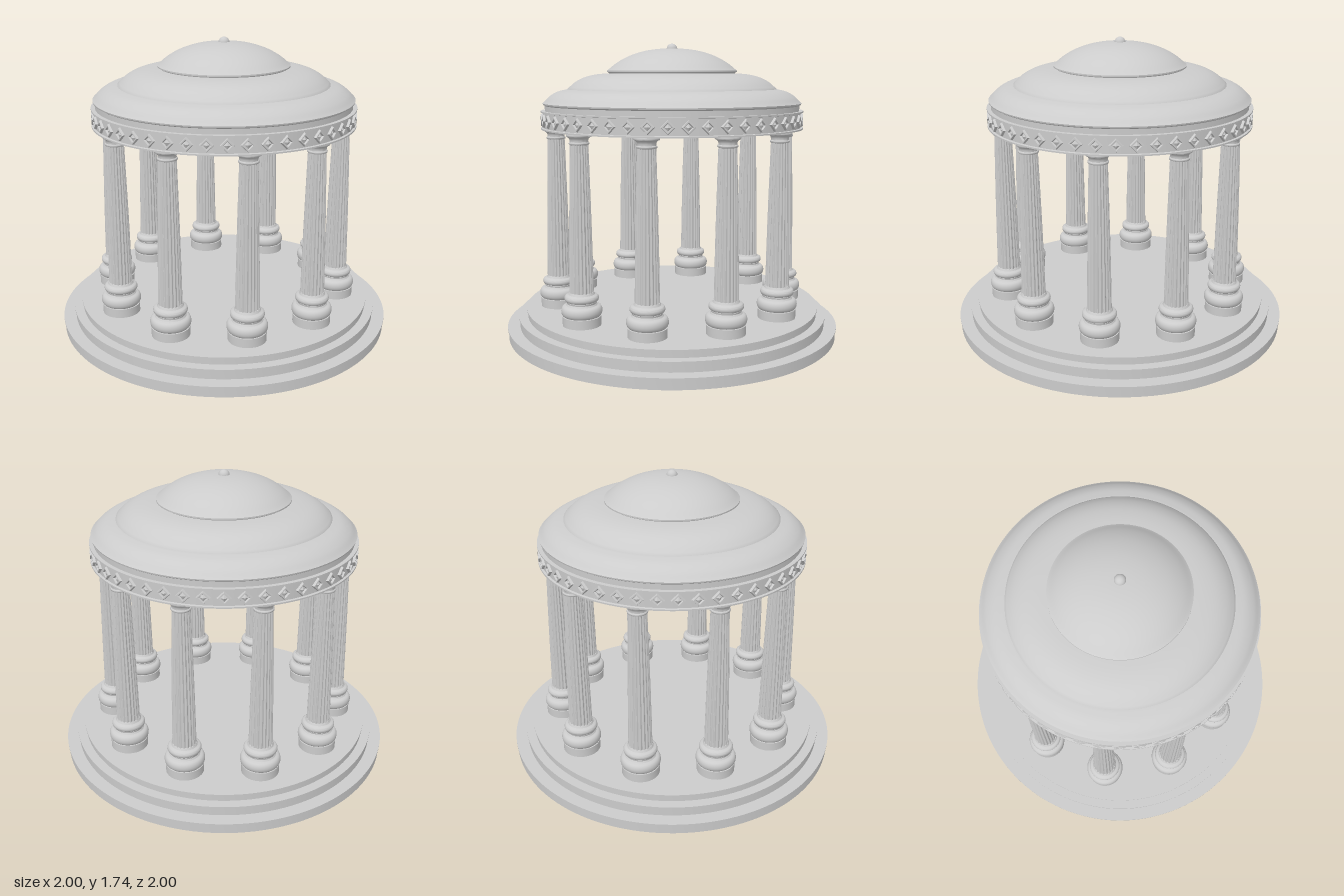
import * as THREE from 'three';
import { toCreasedNormals } from 'three/addons/utils/BufferGeometryUtils.js';

const stone = new THREE.MeshStandardMaterial({ color: 0xcccccc });
const facetedStone = new THREE.MeshStandardMaterial({ color: 0xcccccc, flatShading: true });

// Turned solid from [radius, height] pairs, bottom to top
function turned(profile, segments) {
  const points = profile.map(([r, y]) => new THREE.Vector2(r, y));
  return toCreasedNormals(new THREE.LatheGeometry(points, segments), 0.55);
}

// Half-round moulding bulging out from radius r between two heights
function roll(r, bulge, y0, y1, steps = 8) {
  return Array.from({ length: steps + 1 }, (_, i) => {
    const a = (i / steps) * Math.PI;
    return [r + bulge * Math.sin(a), (y0 + y1) / 2 - ((y1 - y0) / 2) * Math.cos(a)];
  });
}

// Smooth run of profile points through a few control points
function smooth(points, steps = 14) {
  const curve = new THREE.CatmullRomCurve3(points.map(([r, y]) => new THREE.Vector3(r, y, 0)));
  return curve.getPoints(steps).map((p) => [p.x, p.y]);
}

// Tapered shaft with concave flutes separated by narrow fillets
function flutedShaft(rTop, rBottom, y0, y1, flutes = 20) {
  const geo = new THREE.CylinderGeometry(rTop, rBottom, y1 - y0, flutes * 6, 6, true);
  const pos = geo.attributes.position;
  for (let i = 0; i < pos.count; i++) {
    const x = pos.getX(i), z = pos.getZ(i), y = pos.getY(i);
    const t = (Math.atan2(z, x) / (Math.PI * 2) + 1) * flutes;
    const f = t - Math.floor(t + 1e-6);
    const depth = f < 0.84 ? Math.sin((Math.max(f, 0) / 0.84) * Math.PI) : 0;
    const h = y / (y1 - y0) + 0.5;
    const scale = 1 - 0.09 * depth + 0.03 * Math.sin(h * Math.PI); // slight entasis
    pos.setXYZ(i, x * scale, y, z * scale);
  }
  geo.translate(0, (y0 + y1) / 2, 0);
  return toCreasedNormals(geo, 0.5);
}

export function createModel() {
  const model = new THREE.Group();
  model.name = 'rotunda';
  const add = (parent, name, geometry, material = stone) => {
    const mesh = new THREE.Mesh(geometry, material);
    mesh.name = name;
    parent.add(mesh);
    return mesh;
  };

  // Three round steps, each with a thin projecting lip
  [[1, 0, 0.065], [0.932, 0.065, 0.125], [0.885, 0.125, 0.17]].forEach(([r, y0, y1], i) => {
    add(model, `step${i + 1}`, turned([
      [0, y0], [r - 0.006, y0], [r - 0.006, y1 - 0.008], [r, y1 - 0.008], [r, y1], [0, y1],
    ], 128));
  });

  // Ring of ten columns
  const baseGeo = turned([
    [0.108, 0.17], [0.108, 0.222],
    ...roll(0.096, 0.019, 0.222, 0.283),
    [0.088, 0.286], [0.082, 0.295], [0.084, 0.304],
    ...roll(0.082, 0.014, 0.306, 0.343),
    [0.074, 0.347], [0.068, 0.358], [0.04, 0.36],
  ], 40);
  const shaftGeo = flutedShaft(0.05, 0.068, 0.35, 1.19);
  const capitalGeo = turned([
    [0.045, 1.178], ...roll(0.05, 0.006, 1.18, 1.195, 6),
    [0.05, 1.205], [0.054, 1.215], [0.062, 1.222],
    ...roll(0.064, 0.006, 1.222, 1.242, 6),
  ], 40);
  for (let i = 0; i < 10; i++) {
    const a = (i / 10) * Math.PI * 2;
    const column = new THREE.Group();
    column.name = `column${i + 1}`;
    column.position.set(0.69 * Math.cos(a), 0, 0.69 * Math.sin(a));
    column.rotation.y = -a;
    add(column, 'columnBase', baseGeo);
    add(column, 'columnShaft', shaftGeo);
    add(column, 'columnCapital', capitalGeo);
    model.add(column);
  }

  // Entablature drum with a flat soffit and thin lips
  add(model, 'entablature', turned([
    [0, 1.24], [0.776, 1.24], [0.776, 1.248], [0.763, 1.25],
    [0.763, 1.336], [0.776, 1.338], [0.776, 1.346], [0, 1.346],
  ], 128));

  // Diamond studs around the frieze
  const studGeo = new THREE.LatheGeometry([
    [0.039, -0.002], [0.034, 0.013], [0.025, 0.013], [0.02, 0.002], [0, 0.012],
  ].map(([r, y]) => new THREE.Vector2(r, y)), 4);
  studGeo.rotateX(Math.PI / 2).translate(0, 1.293, 0.763);
  const frieze = new THREE.Group();
  frieze.name = 'friezeStuds';
  for (let i = 0; i < 46; i++) {
    add(frieze, 'diamondStud', studGeo, facetedStone).rotation.y = Math.PI / 2 + (i / 46) * Math.PI * 2;
  }
  model.add(frieze);

  // Roof in three stacked domes
  add(model, 'lowerRoof', turned([
    [0.752, 1.344], [0.752, 1.376], [0.762, 1.382], [0.764, 1.39],
    ...smooth([[0.755, 1.398], [0.725, 1.428], [0.68, 1.455], [0.62, 1.47]]),
    [0.6, 1.47],
  ], 128));
  add(model, 'middleRoof', turned([
    [0.62, 1.465],
    ...smooth([[0.618, 1.472], [0.575, 1.51], [0.52, 1.539], [0.45, 1.556], [0.37, 1.563]]),
  ], 128));
  add(model, 'upperRoof', turned([
    [0.372, 1.56], [0.376, 1.568], [0.386, 1.57], [0.386, 1.578],
    ...smooth([[0.38, 1.582], [0.33, 1.622], [0.26, 1.661], [0.17, 1.691], [0.08, 1.705], [0, 1.708]], 18),
  ], 96));

  // Finial knob
  add(model, 'finial', new THREE.SphereGeometry(0.032, 24, 16)).position.y = 1.704;

  return model;
}
